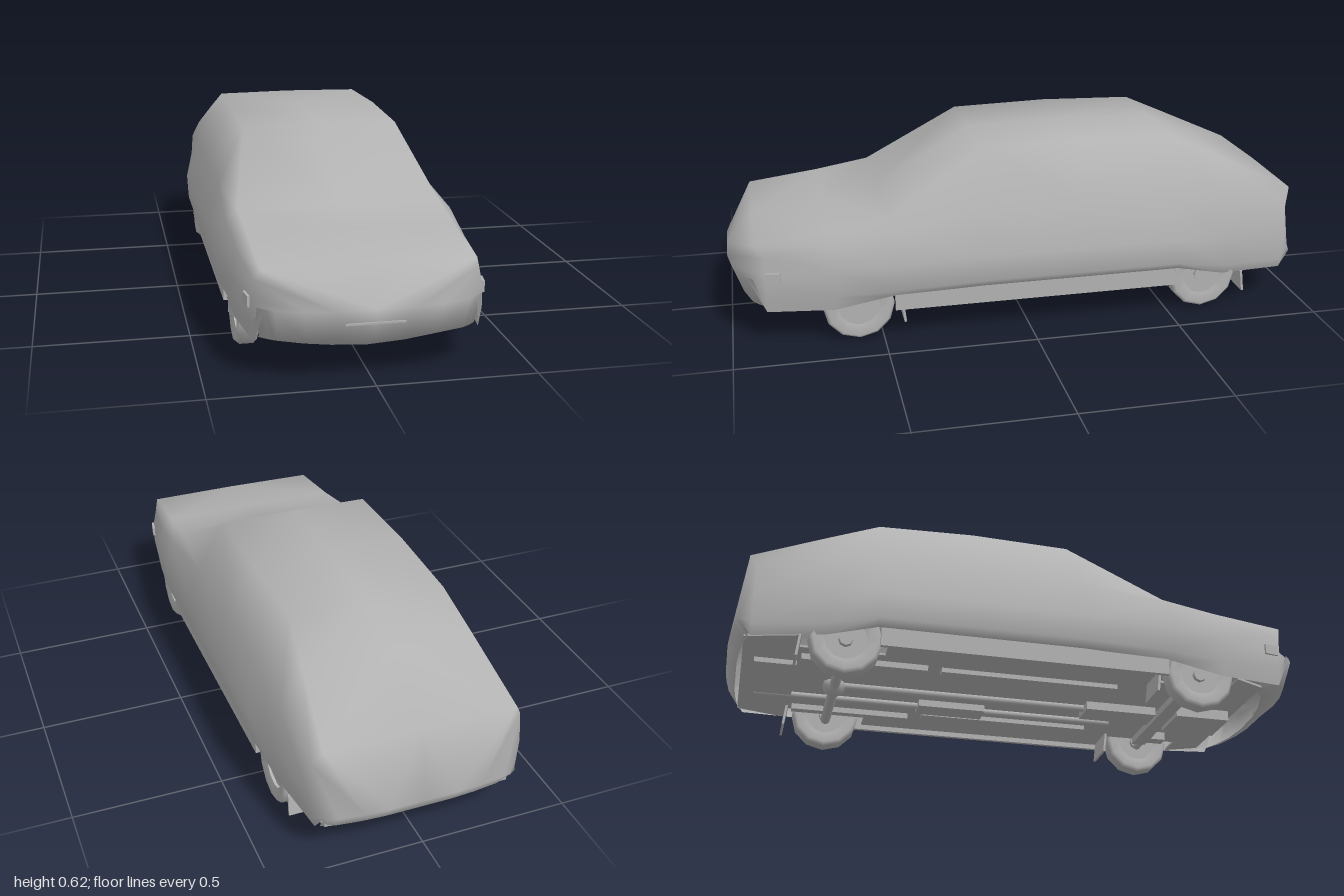
import * as THREE from 'three';

const grey = new THREE.MeshStandardMaterial({ color: 0xb2b2b2, side: THREE.DoubleSide });
grey.name = 'bodyGrey';

// Half cross-section at z, from the sill up to the roof edge, then the centre line.
function section(z, half, centreY, topZ = z) {
  const last = half.length - 1;
  const pts = half.map(([x, y], i) => [x, y, i === last ? topZ : z]);
  pts.push([0, centreY, topZ]);
  return pts;
}

// Closing row across the nose or tail, swept back towards its corners.
function endRow(y, z, width, sweep, lift = 0) {
  const across = [1, 0.94, 0.86, 0.6, 0.35, 0];
  const curve = [1, 0.75, 0.5, 0.16, 0, 0];
  return across.map((a, i) => [a * width, y + lift * a, z - Math.sign(z) * sweep * curve[i]]);
}

// Skin through rows of half sections, mirrored across x.
function loft(rows) {
  const full = rows.map(r => [...r, ...r.slice(0, -1).reverse().map(([x, y, z]) => [-x, y, z])]);
  const n = full[0].length, index = [];
  for (let i = 0; i < full.length - 1; i++) {
    for (let j = 0; j < n - 1; j++) {
      const p = i * n + j, q = p + n;
      // the diagonal is mirrored too
      if (j < (n - 1) / 2) index.push(p, q, p + 1, q, q + 1, p + 1);
      else index.push(p, q, q + 1, p, q + 1, p + 1);
    }
  }
  const g = new THREE.BufferGeometry();
  g.setAttribute('position', new THREE.Float32BufferAttribute(full.flat(2), 3));
  g.setIndex(index);
  g.computeVertexNormals();
  return g;
}

function bodyGeometry() {
  const roofSide = [[0.385, 0.165], [0.405, 0.19], [0.41, 0.28], [0.36, 0.425]];
  return loft([
    endRow(0.085, 0.88, 0.32, 0.08, 0.02),
    endRow(0.145, 0.965, 0.33, 0.08, -0.01),
    endRow(0.24, 1.0, 0.34, 0.08),
    section(0.88, [[0.345, 0.12], [0.355, 0.18], [0.355, 0.25], [0.342, 0.31], [0.325, 0.35]], 0.353, 0.91),
    section(0.66, [[0.375, 0.12], [0.385, 0.17], [0.39, 0.26], [0.365, 0.34], [0.33, 0.38]], 0.387),
    section(0.47, [[0.382, 0.155], [0.403, 0.18], [0.41, 0.27], [0.375, 0.38], [0.335, 0.41]], 0.417),
    section(0.16, [...roofSide, [0.268, 0.609]], 0.613, 0.14),
    section(-0.2, [...roofSide, [0.27, 0.617]], 0.62),
    section(-0.53, [...roofSide, [0.265, 0.609]], 0.613),
    section(-0.7, [[0.37, 0.125], [0.385, 0.16], [0.39, 0.265], [0.36, 0.4], [0.287, 0.53]], 0.534),
    section(-0.93, [[0.335, 0.115], [0.35, 0.15], [0.357, 0.25], [0.348, 0.36], [0.318, 0.41]], 0.415, -0.955),
    endRow(0.17, -1.0, 0.325, 0.03),
    endRow(0.115, -0.965, 0.32, 0.03),
  ]);
}

// Floor plate with notches for the four wheels.
function floorGeometry() {
  const half = [[0.31, 0.83], [0.36, 0.72], [0.27, 0.72], [0.27, 0.44], [0.375, 0.44],
    [0.375, -0.49], [0.27, -0.49], [0.27, -0.77], [0.36, -0.77], [0.31, -0.95]];
  const s = new THREE.Shape();
  half.forEach(([x, z], i) => (i ? s.lineTo(x, z) : s.moveTo(x, z)));
  [...half].reverse().forEach(([x, z]) => s.lineTo(-x, z));
  s.closePath();
  return new THREE.ExtrudeGeometry(s, { depth: 0.008, bevelEnabled: false }).rotateX(Math.PI / 2);
}

// Rounded tyre, with its axis along x.
function tyreGeometry() {
  const profile = [[0.07, -0.025], [0.108, -0.035], [0.12, -0.022], [0.12, 0.022], [0.108, 0.035], [0.07, 0.025]];
  return new THREE.LatheGeometry(profile.map(p => new THREE.Vector2(...p)), 12).rotateZ(Math.PI / 2);
}

export function createModel() {
  const car = new THREE.Group();
  car.name = 'car';

  const add = (name, geometry, x = 0, y = 0, z = 0, parent = car) => {
    const mesh = new THREE.Mesh(geometry, grey);
    mesh.name = name;
    mesh.position.set(x, y, z);
    parent.add(mesh);
    return mesh;
  };
  const box = (name, w, h, d, x, y, z) => add(name, new THREE.BoxGeometry(w, h, d), x, y, z);
  const rod = (name, r, length, x, y, z, axis) => {
    const g = new THREE.CylinderGeometry(r, r, length, 8);
    if (axis === 'x') g.rotateZ(Math.PI / 2);
    if (axis === 'z') g.rotateX(Math.PI / 2);
    return add(name, g, x, y, z);
  };

  add('bodyShell', bodyGeometry());
  add('floorPan', floorGeometry(), 0, 0.128, 0);

  // Wheels, sills, mud flaps and rails
  for (const side of [1, -1]) {
    for (const [label, z] of [['front', 0.58], ['rear', -0.63]]) {
      const wheel = new THREE.Group();
      wheel.name = label + 'Wheel';
      wheel.position.set(side * 0.335, 0.122, z);
      car.add(wheel);
      add('tyre', tyreGeometry(), 0, 0, 0, wheel);
      add('rim', new THREE.CylinderGeometry(0.072, 0.072, 0.03, 12).rotateZ(Math.PI / 2), 0, 0, 0, wheel);
      add('hub', new THREE.CylinderGeometry(0.022, 0.03, 0.056, 8).rotateZ(Math.PI / 2), 0, 0, 0, wheel);
    }
    box('sill', 0.014, 0.07, 0.98, side * 0.377, 0.137, -0.03);
    const frontFlap = box('frontMudFlap', 0.125, 0.075, 0.008, side * 0.303, 0.085, 0.43);
    const rearFlap = box('rearMudFlap', 0.125, 0.075, 0.008, side * 0.303, 0.085, -0.78);
    frontFlap.rotation.x = rearFlap.rotation.x = 0.12;
    box('floorRail', 0.035, 0.016, 0.62, side * 0.2, 0.112, 0.02);
    box('rearSpringArm', 0.03, 0.02, 0.42, side * 0.22, 0.105, -0.55);
    rod('frontControlArm', 0.014, 0.16, side * 0.23, 0.105, 0.58, 'x');
    box('suspensionMount', 0.045, 0.03, 0.09, side * 0.19, 0.1, 0.6);
  }

  // Parts beneath the floor
  rod('rearAxle', 0.018, 0.6, 0, 0.1, -0.63, 'x');
  add('differential', new THREE.SphereGeometry(0.04, 10, 8), 0, 0.11, -0.63);
  box('crossMember', 0.46, 0.025, 0.05, 0, 0.095, 0.56);
  box('engineSump', 0.16, 0.04, 0.2, 0, 0.103, 0.7);
  box('gearbox', 0.1, 0.035, 0.26, 0, 0.108, 0.4);
  rod('driveShaft', 0.014, 0.9, 0, 0.112, -0.18, 'z');
  rod('exhaustPipe', 0.012, 1.3, 0.11, 0.108, -0.25, 'z');
  box('silencer', 0.08, 0.024, 0.24, 0.11, 0.106, -0.2);
  box('fuelTank', 0.32, 0.02, 0.14, 0, 0.113, -0.84);

  // Thin front slot and lamp insets
  box('frontSlot', 0.18, 0.006, 0.008, 0, 0.193, 0.984);
  for (const side of [1, -1]) {
    const lamp = box('sideLamp', 0.008, 0.035, 0.05, side * 0.362, 0.245, 0.855);
    lamp.rotation.y = side * -0.16;
  }
  return car;
}
